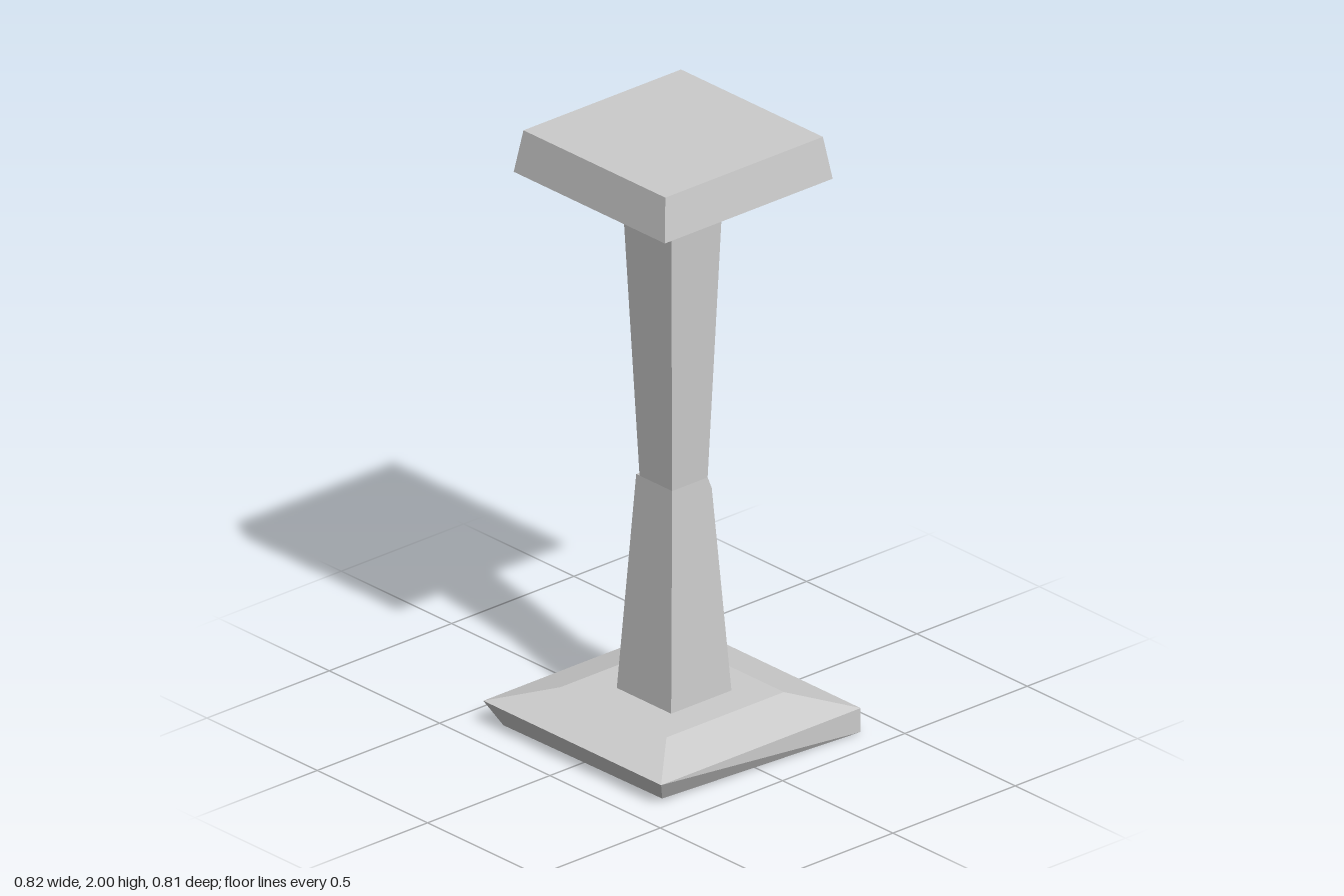
import * as THREE from 'three';
import { ConvexGeometry } from 'three/addons/geometries/ConvexGeometry.js';

const material = new THREE.MeshStandardMaterial({ color: 0xcccccc, flatShading: true });

// Four corners of a level rectangle
function ring(y, x0, x1, z0, z1) {
  return [[x0, y, z1], [x1, y, z1], [x1, y, z0], [x0, y, z0]];
}

// Solid block spanned by its corners
function block(name, corners) {
  const geometry = new ConvexGeometry(corners.map((c) => new THREE.Vector3(...c)));
  const mesh = new THREE.Mesh(geometry, material);
  mesh.name = name;
  return mesh;
}

export function createModel() {
  const group = new THREE.Group();
  group.name = 'brokenPillar';

  // Square plinth with sloped top; two lower corners on the -x side are worn
  group.add(block('base', [
    ...ring(0.13, -0.24, 0.24, -0.24, 0.24),
    ...ring(0.08, -0.408, 0.408, -0.404, 0.402),
    [0.408, 0, 0.402], [0.408, 0, -0.404],
    [-0.37, 0.01, 0.365], [-0.37, 0.003, -0.355],
  ]));

  // Lower shaft, chamfered along the +x side at the crack
  group.add(block('lowerShaft', [
    ...ring(0.125, -0.117, 0.13, -0.122, 0.125),
    [0.085, 0.81, 0.085], [0.085, 0.81, -0.08],
    ...ring(0.85, -0.075, 0.07, -0.08, 0.083),
  ]));

  // Upper shaft, with one chipped corner above the crack
  group.add(block('upperShaft', [
    ...ring(1.815, -0.107, 0.105, -0.11, 0.114),
    [-0.075, 0.85, 0.083], [0.07, 0.85, 0.083],
    [0.068, 0.885, -0.063], [-0.075, 0.85, -0.065],
  ]));

  // Capital slab with a shallow flared underside
  group.add(block('capital', [
    ...ring(2, -0.323, 0.321, -0.316, 0.327),
    ...ring(1.86, -0.344, 0.342, -0.337, 0.348),
    ...ring(1.815, -0.15, 0.15, -0.15, 0.155),
    ...ring(1.81, -0.108, 0.107, -0.112, 0.116),
  ]));

  return group;
}
